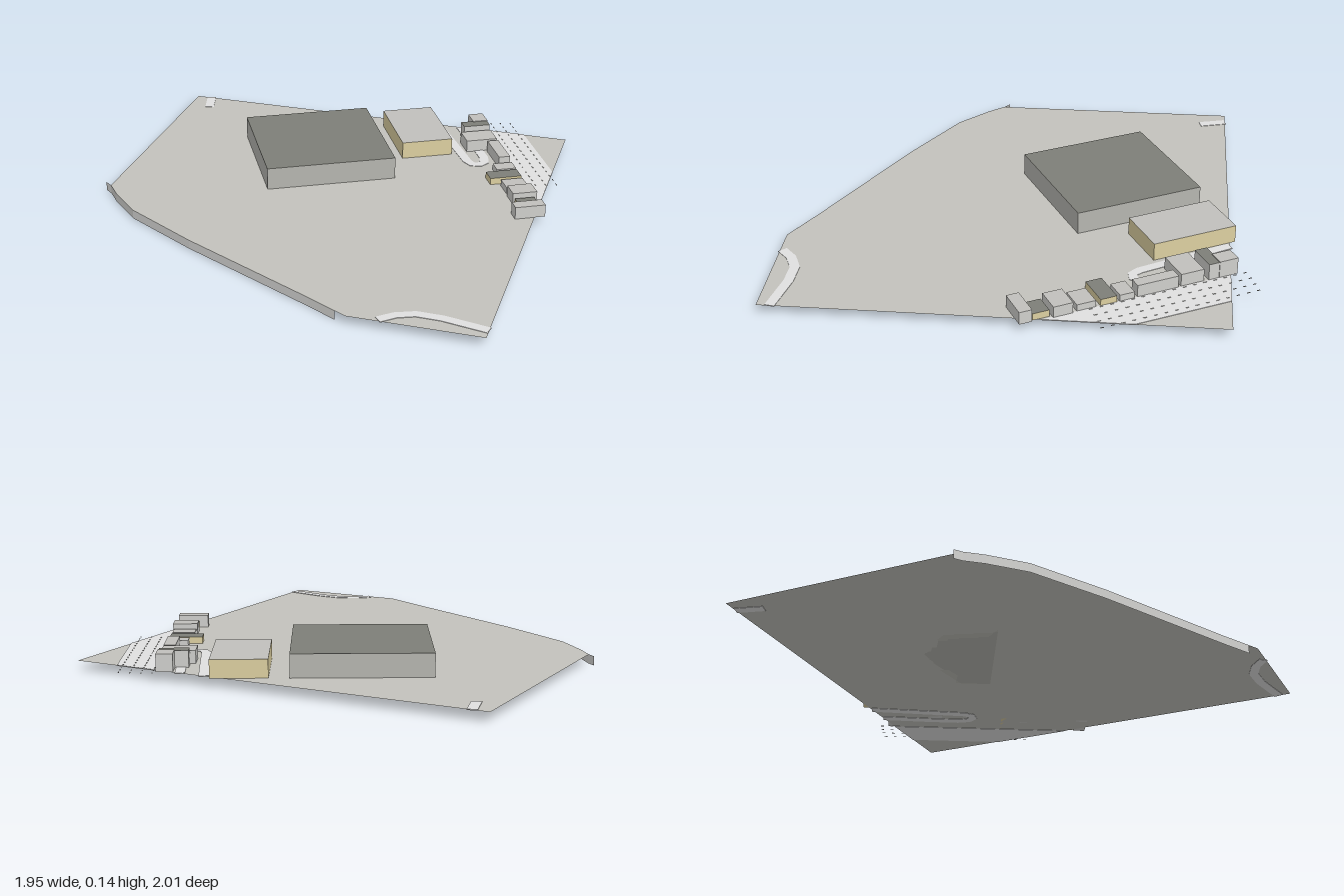
import * as THREE from 'three';

const mat = (name, color, extra = {}) => {
  const m = new THREE.MeshStandardMaterial({ color, ...extra });
  m.name = name;
  return m;
};

const GROUND_Y = 0.04;
const ROW_ANGLE = 0.495; // buildings and road share one street direction

export function createModel() {
  const both = { side: THREE.DoubleSide };
  const ground = mat('ground grey', 0xc3c2bc, both);
  const road = mat('road light grey', 0xe0e0e0, both);
  const edge = mat('edge wall grey', 0xd3d3d1, both);
  const darkRoof = mat('dark roof', 0x7e7f78);
  const lightRoof = mat('light roof', 0xc1c0bc);
  const greyWall = mat('grey wall', 0xb6b6b0);
  const paleWall = mat('pale wall', 0xcfcfcc);
  const tanWall = mat('tan wall', 0xdccfa0);
  const marking = mat('road marking', 0xb4b4b0);

  const model = new THREE.Group();
  model.name = 'cityBlock';
  const add = (name, geometry, material) => {
    const mesh = new THREE.Mesh(geometry, material);
    mesh.name = name;
    model.add(mesh);
    return mesh;
  };
  const toShape = pts => new THREE.Shape(pts.map(([x, z]) => new THREE.Vector2(x, -z)));

  // Thin plate showing on both faces of the ground sheet
  const plate = (name, pts) => {
    const geo = new THREE.ExtrudeGeometry(toShape(pts), { depth: 0.004, bevelEnabled: false });
    geo.rotateX(-Math.PI / 2).translate(0, GROUND_Y - 0.002, 0);
    return add(name, geo, road);
  };

  // Strip of constant width along a centre line
  const strip = (name, path, width = 0.042) => {
    const left = [], right = [];
    path.forEach(([x, z], i) => {
      const a = path[Math.max(i - 1, 0)], b = path[Math.min(i + 1, path.length - 1)];
      const dx = b[0] - a[0], dz = b[1] - a[1];
      const k = width / 2 / Math.hypot(dx, dz);
      left.push([x - dz * k, z + dx * k]);
      right.unshift([x + dz * k, z - dx * k]);
    });
    plate(name, [...left, ...right]);
  };

  // Ground sheet with a curved front left edge
  const groundGeo = new THREE.ShapeGeometry(toShape([
    [-0.947, -0.885], [-0.947, 0.205], [-0.89, 0.275], [-0.755, 0.405], [-0.42, 0.595],
    [-0.2, 0.705], [0.2, 0.905], [0.38, 1], [0.928, 1], [0.928, -0.885],
  ]));
  add('ground', groundGeo.rotateX(-Math.PI / 2).translate(0, GROUND_Y, 0), ground);

  // Low wall under the curved edge
  const wallPath = [[-0.98, 0.18], [-0.947, 0.205], [-0.89, 0.275], [-0.755, 0.405],
    [-0.42, 0.595], [-0.2, 0.705], [0.2, 0.905], [0.33, 0.974]];
  const pos = [];
  for (let i = 0; i < wallPath.length - 1; i++) {
    const [ax, az] = wallPath[i], [bx, bz] = wallPath[i + 1];
    pos.push(ax, 0, az, bx, 0, bz, bx, GROUND_Y, bz);
    pos.push(ax, 0, az, bx, GROUND_Y, bz, ax, GROUND_Y, az);
  }
  const wallGeo = new THREE.BufferGeometry();
  wallGeo.setAttribute('position', new THREE.Float32BufferAttribute(pos, 3));
  wallGeo.computeVertexNormals();
  add('edgeWall', wallGeo, edge);

  // Roads and paths
  plate('mainRoad', [[0.53, -0.885], [0.726, -0.885], [0.928, -0.505], [0.928, -0.14]]);
  strip('loopPath', [[0.3, -0.885], [0.42, -0.69], [0.53, -0.51], [0.56, -0.483],
    [0.592, -0.488], [0.608, -0.52], [0.595, -0.57], [0.53, -0.69], [0.415, -0.885]]);
  strip('cornerPath', [[-0.875, -0.885], [-0.842, -0.765]]);
  strip('frontPath', [[0.505, 0.99], [0.56, 0.94], [0.635, 0.908], [0.74, 0.91], [0.928, 0.945]]);

  // Rows of small dashes on the road
  const dash = new THREE.BoxGeometry(0.004, 0.002, 0.014);
  for (const [x, z] of [[0.64, -0.993], [0.594, -0.979], [0.551, -0.963], [0.511, -0.942]]) {
    for (let i = 0; i < 16; i++) {
      const t = i / 15;
      const m = add('roadDash', dash, marking);
      m.position.set(x + 0.325 * t, GROUND_Y + 0.003, z + 0.615 * t);
      m.rotation.y = ROW_ANGLE;
    }
  }

  // Buildings: name, centre x and z, width, depth, top height, wall, roof
  const buildings = [
    ['mainHall', -0.143, -0.359, 0.585, 0.59, 0.14, greyWall, darkRoof],
    ['annex', 0.247, -0.681, 0.237, 0.387, 0.118, tanWall, lightRoof],
    ['house1', 0.504, -0.857, 0.07, 0.085, 0.115, paleWall, lightRoof],
    ['house2', 0.507, -0.788, 0.125, 0.055, 0.112, paleWall, darkRoof],
    ['house3', 0.544, -0.693, 0.145, 0.105, 0.095, paleWall, lightRoof],
    ['house4', 0.662, -0.577, 0.052, 0.185, 0.093, paleWall, lightRoof],
    ['house5', 0.715, -0.447, 0.09, 0.065, 0.07, paleWall, lightRoof],
    ['house6', 0.728, -0.362, 0.145, 0.072, 0.07, tanWall, darkRoof],
    ['house7', 0.792, -0.286, 0.1, 0.083, 0.07, paleWall, lightRoof],
    ['house8', 0.842, -0.196, 0.11, 0.085, 0.09, paleWall, lightRoof],
    ['house9', 0.879, -0.116, 0.088, 0.072, 0.07, tanWall, darkRoof],
    ['house10', 0.897, -0.048, 0.135, 0.055, 0.095, paleWall, lightRoof],
  ];
  for (const [name, x, z, w, d, top, wall, roof] of buildings) {
    const h = top - GROUND_Y;
    const m = add(name, new THREE.BoxGeometry(w, h, d), [wall, wall, roof, wall, wall, wall]);
    m.position.set(x, GROUND_Y + h / 2, z);
    m.rotation.y = ROW_ANGLE;
  }
  return model;
}
